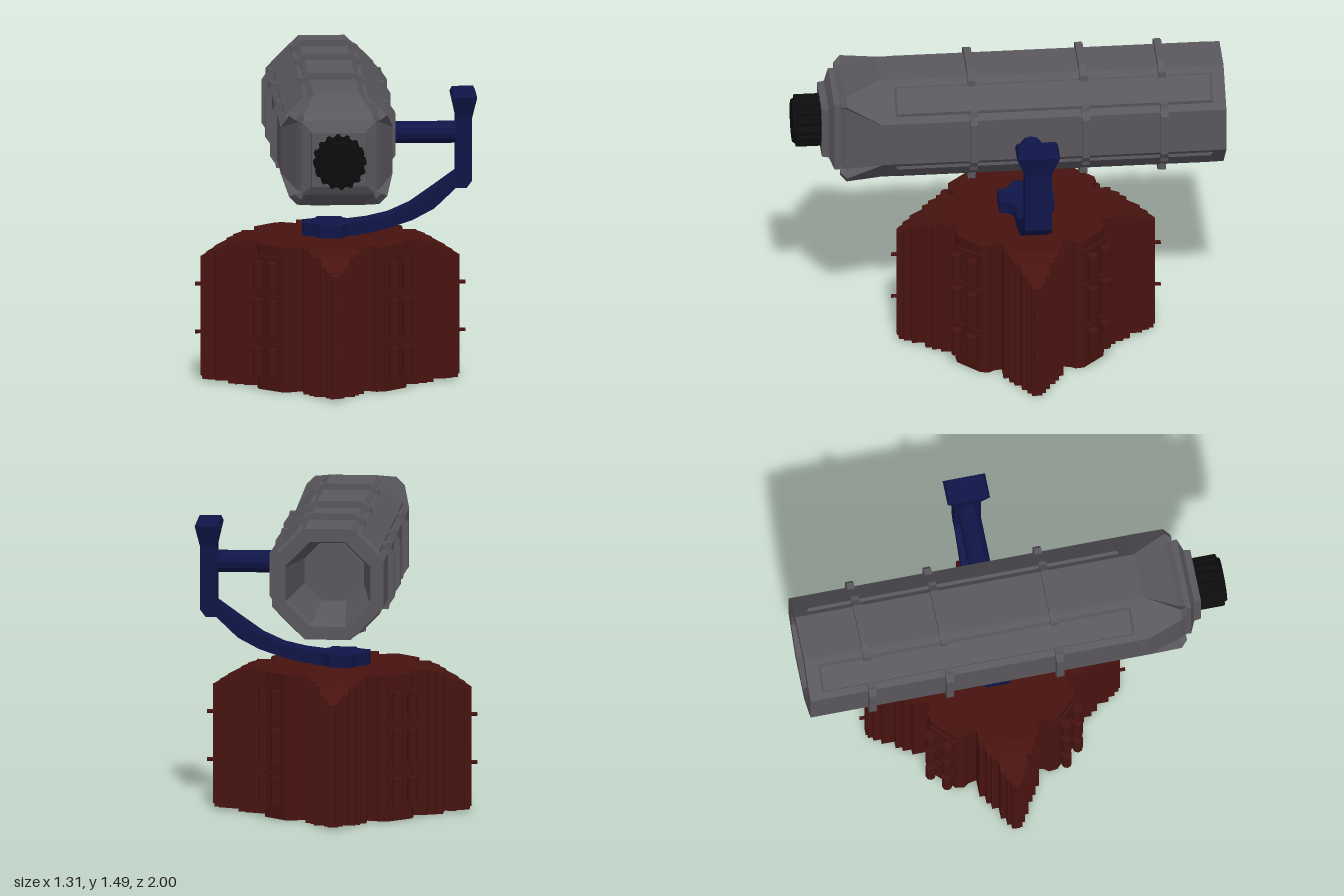
import * as THREE from 'three';

const paint = (color) => new THREE.MeshStandardMaterial({ color, flatShading: true });

// 2D outline extruded symmetrically about z = 0
function slab(points, depth) {
  const shape = new THREE.Shape(points.map(([x, y]) => new THREE.Vector2(x, y)));
  return new THREE.ExtrudeGeometry(shape, { depth, bevelEnabled: false }).translate(0, 0, -depth / 2);
}

// repeat a run of points four times around the origin
function fourfold(points) {
  const out = [];
  for (let k = 0; k < 4; k++) {
    const c = [1, 0, -1, 0][k], s = [0, 1, 0, -1][k];
    for (const [x, y] of points) out.push([x * c - y * s, x * s + y * c]);
  }
  return out;
}

// skin between loops of equal length, each { z, pts }, counter-clockwise seen from +z
function loft(sections) {
  const n = sections[0].pts.length, pos = [], idx = [];
  sections.forEach(({ z, pts }) => pts.forEach(([x, y]) => pos.push(x, y, z)));
  for (let s = 0; s < sections.length - 1; s++) {
    for (let i = 0; i < n; i++) {
      const a = s * n + i, b = s * n + (i + 1) % n;
      idx.push(a, b, b + n, a, b + n, a + n);
    }
  }
  const g = new THREE.BufferGeometry();
  g.setAttribute('position', new THREE.Float32BufferAttribute(pos, 3));
  g.setIndex(idx);
  g.computeVertexNormals();
  return g;
}

export function createModel() {
  const grey = paint(0x5a575d), red = paint(0x47130f), blue = paint(0x0f1548), black = paint(0x0c0c0c);
  const model = new THREE.Group();
  const group = (name, parent, x = 0, y = 0, z = 0) => {
    const g = new THREE.Group();
    g.name = name;
    g.position.set(x, y, z);
    parent.add(g);
    return g;
  };
  const add = (name, geo, mat, parent, x = 0, y = 0, z = 0) => {
    const m = new THREE.Mesh(geo, mat);
    m.name = name;
    m.position.set(x, y, z);
    parent.add(m);
    return m;
  };
  const box = (w, h, d) => new THREE.BoxGeometry(w, h, d);

  // ---- barrel: hollow octagonal tube, open at the back ----
  const barrel = group('barrel', model, -0.03, 1.2, 0);
  const profile = [[0, -0.6], [0.15, -0.6], [0.205, -0.97], [0.215, -1], [0.281, -1], [0.281, 0.6]]
    .map(([r, y]) => new THREE.Vector2(r, y));
  add('barrelTube', new THREE.LatheGeometry(profile, 8, Math.PI / 8).rotateX(Math.PI / 2), grey, barrel);

  // nose: tapering faces between four flared corner fins
  const ring = (z, a, b) => ({
    z, pts: fourfold([[a[1], a[0]], [b[1], b[0]], [b[0], b[1]], [a[0], a[1]]]),
  });
  const noseMat = grey.clone();
  noseMat.side = THREE.DoubleSide;
  add('nose', loft([
    ring(0.6, [0.107, 0.26], [0.108, 0.26]),
    ring(0.76, [0.16, 0.19], [0.19, 0.228]),
    ring(0.79, [0.16, 0.17], [0.175, 0.2]),
    ring(0.79, [0.15, 0.15], [0.15, 0.15]),
  ]), noseMat, barrel);

  // square front plate with bevelled rim and neck
  const square = (z, h) => ({ z, pts: fourfold([[h, h]]) });
  add('frontPlate', loft([
    square(0.74, 0.17), square(0.815, 0.172), square(0.838, 0.13), square(0.87, 0.126), square(0.87, 0.001),
  ]), grey, barrel);

  // ridged cap
  const teeth = [];
  for (let i = 0; i < 64; i++) {
    const a = (i / 64) * Math.PI * 2, r = i % 4 < 2 ? 0.122 : 0.11;
    teeth.push([r * Math.cos(a), r * Math.sin(a)]);
  }
  add('ridgedCap', slab(teeth, 0.12), black, barrel, 0, 0, 0.925);
  add('capFace', new THREE.CylinderGeometry(0.1, 0.112, 0.03, 32).rotateX(Math.PI / 2), black, barrel, 0, 0, 0.985);

  // straps on the flat faces, raised panels on the diagonal faces
  const strap = slab([[-0.155, 0.232], [0.155, 0.232], [0.155, 0.262], [0.135, 0.266], [0.1, 0.29],
    [-0.1, 0.29], [-0.135, 0.266], [-0.155, 0.262]], 0.035);
  const rect = (y, w, z0, z1) => [[w, y, z0], [w, y, z1], [-w, y, z1], [-w, y, z0]];
  for (let k = 0; k < 4; k++) {
    const side = group('barrelSide', barrel);
    side.rotation.z = k * Math.PI / 2;
    for (const z of [0.175, -0.345, -0.71]) add('strap', strap, grey, side, 0, 0, z);

    const diagonal = group('diagonalSide', barrel);
    diagonal.rotation.z = (k + 0.5) * Math.PI / 2;
    const c = [...rect(0.255, 0.075, -0.945, 0.54), ...rect(0.272, 0.062, -0.93, 0.525)];
    const g = new THREE.BufferGeometry();
    g.setAttribute('position', new THREE.Float32BufferAttribute(c.flat(), 3));
    const idx = [4, 6, 5, 4, 7, 6];
    for (let i = 0; i < 4; i++) {
      const j = (i + 1) % 4;
      idx.push(i, j + 4, j, i, i + 4, j + 4);
    }
    g.setIndex(idx);
    g.computeVertexNormals();
    add('raisedPanel', g, noseMat, diagonal);
  }

  // ---- bracket: rod, post with flared head, curved arm, cross-shaped foot ----
  const bracket = group('bracket', model, 0, 0, -0.09);
  add('rod', new THREE.CylinderGeometry(0.052, 0.052, 0.4, 12).rotateZ(Math.PI / 2), blue, bracket, 0.38, 1.16, 0);
  add('arm', slab([[-0.03, 0.685], [0.045, 0.685], [0.145, 0.697], [0.24, 0.72], [0.35, 0.757], [0.45, 0.81],
    [0.55, 0.905], [0.6, 0.905], [0.626, 0.94], [0.626, 1.25], [0.55, 1.25], [0.55, 0.974], [0.44, 0.895],
    [0.34, 0.825], [0.24, 0.78], [0.14, 0.757], [0.04, 0.745], [-0.03, 0.745]], 0.125), blue, bracket);
  const head = (y, w, d) => ({ z: y, pts: [[w, -d], [w, d], [-w, d], [-w, -d]] });
  add('flaredHead', loft([
    head(1.235, 0.038, 0.062), head(1.335, 0.06, 0.1), head(1.36, 0.05, 0.09), head(1.36, 0.001, 0.001),
  ]).rotateX(-Math.PI / 2), blue, bracket, 0.588, 0, 0);
  add('foot', slab(fourfold([[0.128, -0.055], [0.128, 0.055], [0.09, 0.065], [0.065, 0.09]]), 0.06)
    .rotateX(-Math.PI / 2), blue, bracket, -0.03, 0.715, 0);

  // ---- drum: fluted core with four stepped lobes ----
  const drum = group('drum', model, -0.03, 0, -0.09);
  add('drumCore', slab(fourfold([[0.36, -0.11], [0.36, 0.11], [0.32, 0.13], [0.33, 0.18], [0.345, 0.2],
    [0.34, 0.24], [0.24, 0.34], [0.2, 0.345], [0.18, 0.33], [0.13, 0.32]]), 0.68)
    .rotateX(-Math.PI / 2), red, drum, 0, 0.34, 0);

  // each lobe layer: outer radius, half width, height at the inner and outer radius
  const layers = [
    [0.2, 0.405, 0.14, 0.68, 0.68],
    [0.4, 0.445, 0.115, 0.68, 0.665],
    [0.4, 0.475, 0.095, 0.68, 0.652],
    [0.47, 0.535, 0.065, 0.654, 0.62],
    [0.53, 0.57, 0.042, 0.622, 0.6],
    [0.56, 0.592, 0.024, 0.605, 0.585],
  ];
  const rows = [[0.545, 0.13], [0.345, 0.17], [0.138, 0.13]];
  for (let k = 0; k < 4; k++) {
    const lobe = group('drumLobe', drum);
    lobe.rotation.y = k * Math.PI / 2;
    layers.forEach(([r0, r1, w, y0, y1], i) => {
      const foot = i > 2 ? 0.01 : 0;
      add('lobeStep', slab([[0.1, foot], [r1, foot], [r1, y1], [r0, y0], [0.1, y0]], w * 2), red, lobe);
    });
    add('lobeRib', box(0.02, 0.56, 0.028), red, lobe, 0.59, 0.305, 0);
    for (const y of [0.23, 0.455]) {
      add('pin', new THREE.CylinderGeometry(0.009, 0.009, 0.05, 8).rotateZ(Math.PI / 2), red, lobe, 0.602, y, 0);
    }

    // paired cleats on backing plates between the lobes
    const corner = group('drumCorner', drum);
    corner.rotation.y = (k + 0.5) * Math.PI / 2;
    for (const [y, h] of rows) {
      add('cleatPlate', box(0.03, h + 0.04, 0.15), red, corner, 0.405, y, 0);
      for (const s of [-1, 1]) {
        add('cleat', new THREE.CylinderGeometry(0.024, 0.024, h, 8), red, corner, 0.445, y, s * 0.046);
        add('cleatStem', box(0.05, h - 0.02, 0.03), red, corner, 0.42, y, s * 0.046);
      }
    }
  }
  return model;
}
